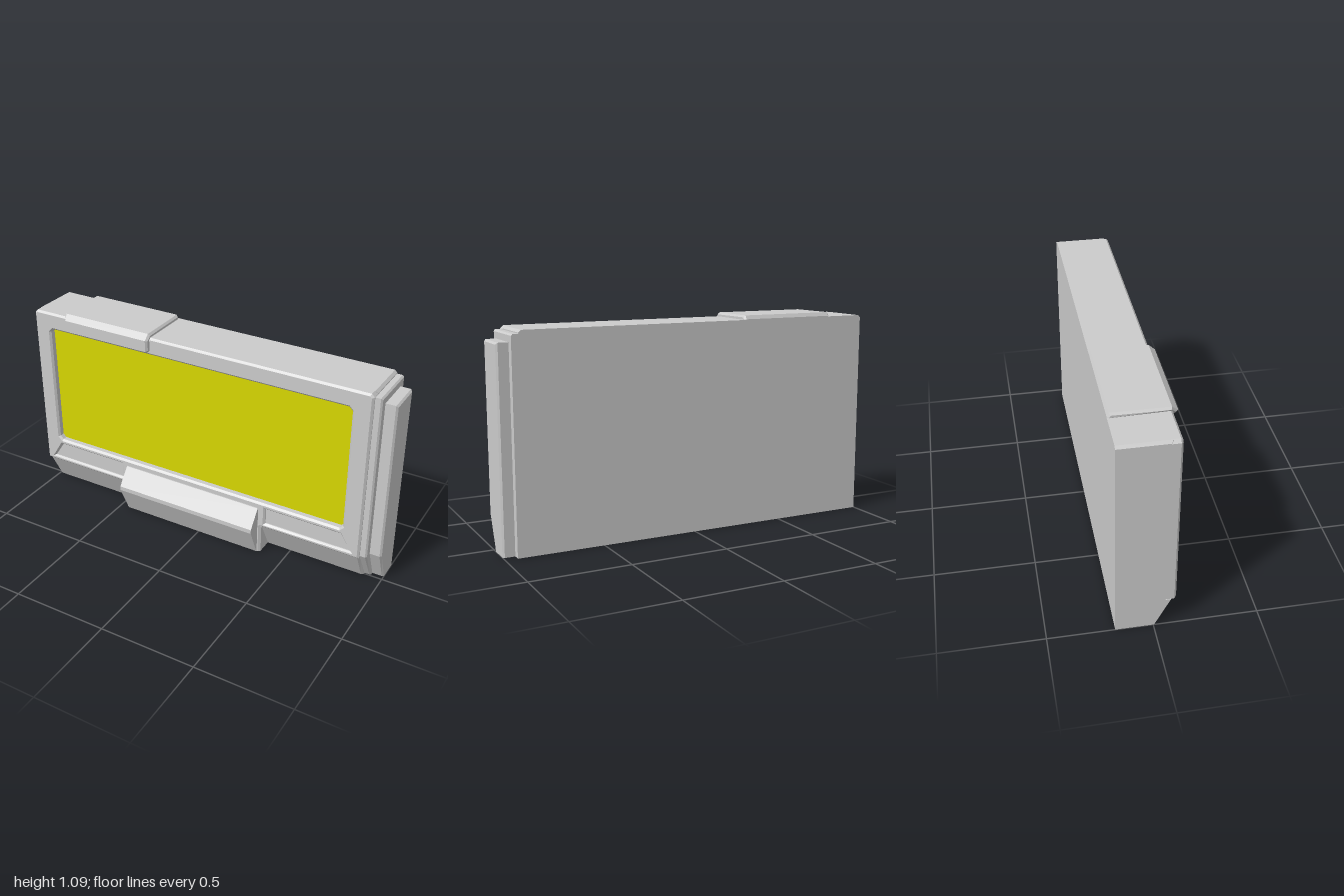
import * as THREE from 'three';

const BACK = -0.18;
const grey = new THREE.MeshStandardMaterial({ color: 0xcccccc, flatShading: true });
const yellow = new THREE.MeshStandardMaterial({ color: 0xd8d800, flatShading: true });

const toShape = (pts) => new THREE.Shape(pts.map(([x, y]) => new THREE.Vector2(x, y)));

// Extrudes with a one-step chamfer that stays inside the outline and the depth.
function chamferExtrude(shape, depth, b) {
  const g = new THREE.ExtrudeGeometry(shape, {
    depth: depth - 2 * b, bevelEnabled: b > 0, bevelSize: b, bevelThickness: b,
    bevelOffset: -b, bevelSegments: 1, steps: 1,
  });
  return g.translate(0, 0, b);
}

// Extrudes a [z, y] side profile from x0 to x1; cuts flat at the back and the floor.
function sideExtrude(profile, x0, x1, b = 0, rule) {
  const g = chamferExtrude(toShape(profile.map(([z, y]) => [-z, y])), x1 - x0, b);
  g.rotateY(Math.PI / 2).translate(x0, 0, 0);
  const p = g.attributes.position;
  const v = new THREE.Vector3();
  for (let i = 0; i < p.count; i++) {
    v.fromBufferAttribute(p, i);
    v.z = Math.max(v.z, BACK);
    v.y = Math.max(v.y, 0);
    if (rule) rule(v);
    p.setXYZ(i, v.x, v.y, v.z);
  }
  g.computeVertexNormals();
  return g;
}

// Rectangle with cut corners.
function cutRect(x0, y0, x1, y1, c) {
  return [[x0 + c, y0], [x1 - c, y0], [x1, y0 + c], [x1, y1 - c],
    [x1 - c, y1], [x0 + c, y1], [x0, y1 - c], [x0, y0 + c]];
}

export function createModel() {
  const model = new THREE.Group();
  const add = (name, geometry, material = grey) => {
    const mesh = new THREE.Mesh(geometry, material);
    mesh.name = name;
    model.add(mesh);
    return mesh;
  };
  const box = (x0, x1, y0, y1, z0, z1) => new THREE.BoxGeometry(x1 - x0, y1 - y0, z1 - z0)
    .translate((x0 + x1) / 2, (y0 + y1) / 2, (z0 + z1) / 2);

  // Main housing, with the lower front sloping back to the floor
  add('housing', sideExtrude([
    [-0.21, -0.03], [0.012, -0.03], [0.093, 0.16], [0.065, 0.165], [0.065, 1.067], [-0.21, 1.067],
  ], -1, 0.905, 0.012));

  // Front frame with the screen opening and two shallow trapezoid recesses
  const frame = toShape([[-1, 0.158], [0.905, 0.158], [0.905, 1.052], [0.89, 1.067], [-0.985, 1.067], [-1, 1.052]]);
  const openings = [
    cutRect(-0.905, 0.303, 0.808, 0.975, 0.018),
    [[-0.95, 0.184], [-0.485, 0.184], [-0.485, 0.272], [-0.892, 0.272]],
    [[0.388, 0.184], [0.858, 0.184], [0.8, 0.272], [0.388, 0.272]],
  ];
  openings.forEach((o) => frame.holes.push(new THREE.Path(o.map(([x, y]) => new THREE.Vector2(x, y)))));
  add('frontFrame', chamferExtrude(frame, 0.067, 0.01).translate(0, 0, 0.038));
  add('recessFloor', box(-0.97, 0.88, 0.175, 0.285, 0.05, 0.09));

  // Screen
  add('screen', box(-0.915, 0.818, 0.293, 0.985, 0.05, 0.07), yellow);

  // Stepped layers on the left side
  add('sideStep', sideExtrude([
    [-0.21, -0.03], [-0.006, -0.03], [0.09, 0.17], [0.09, 1.05], [-0.21, 1.05],
  ], 0.88, 0.94, 0.008));
  add('sidePanel', sideExtrude([
    [-0.142, -0.03], [-0.026, -0.03], [0.048, 0.17], [0.048, 1.01], [-0.142, 1.01],
  ], 0.9, 1, 0.009));

  // Projecting ledge under the screen and the web that carries it
  add('ledge', sideExtrude([
    [0.0, 0], [0.11, 0], [0.18, 0.155], [0.18, 0.178], [0.11, 0.27], [0.0, 0.27],
  ], -0.45, 0.35));
  add('ledgeWeb', sideExtrude([
    [0.0, -0.03], [0.108, -0.03], [0.108, 0.165], [0.0, 0.165],
  ], -0.467, 0.367, 0.012));

  // Cap hooked over the top edge, its front lip slanted at one end
  add('topCap', sideExtrude([
    [BACK, 1.04], [BACK, 1.07], [-0.17, 1.089], [0.1, 1.087], [0.13, 1.06],
    [0.13, 1.0], [0.115, 0.99], [0.08, 0.99], [0.08, 1.04],
  ], -0.8, -0.28, 0.01, (v) => {
    if (v.x < -0.5 && v.z > 0.05 && v.y < 1.07) v.x += 1.05 * (1.07 - v.y);
  }));

  return model;
}
